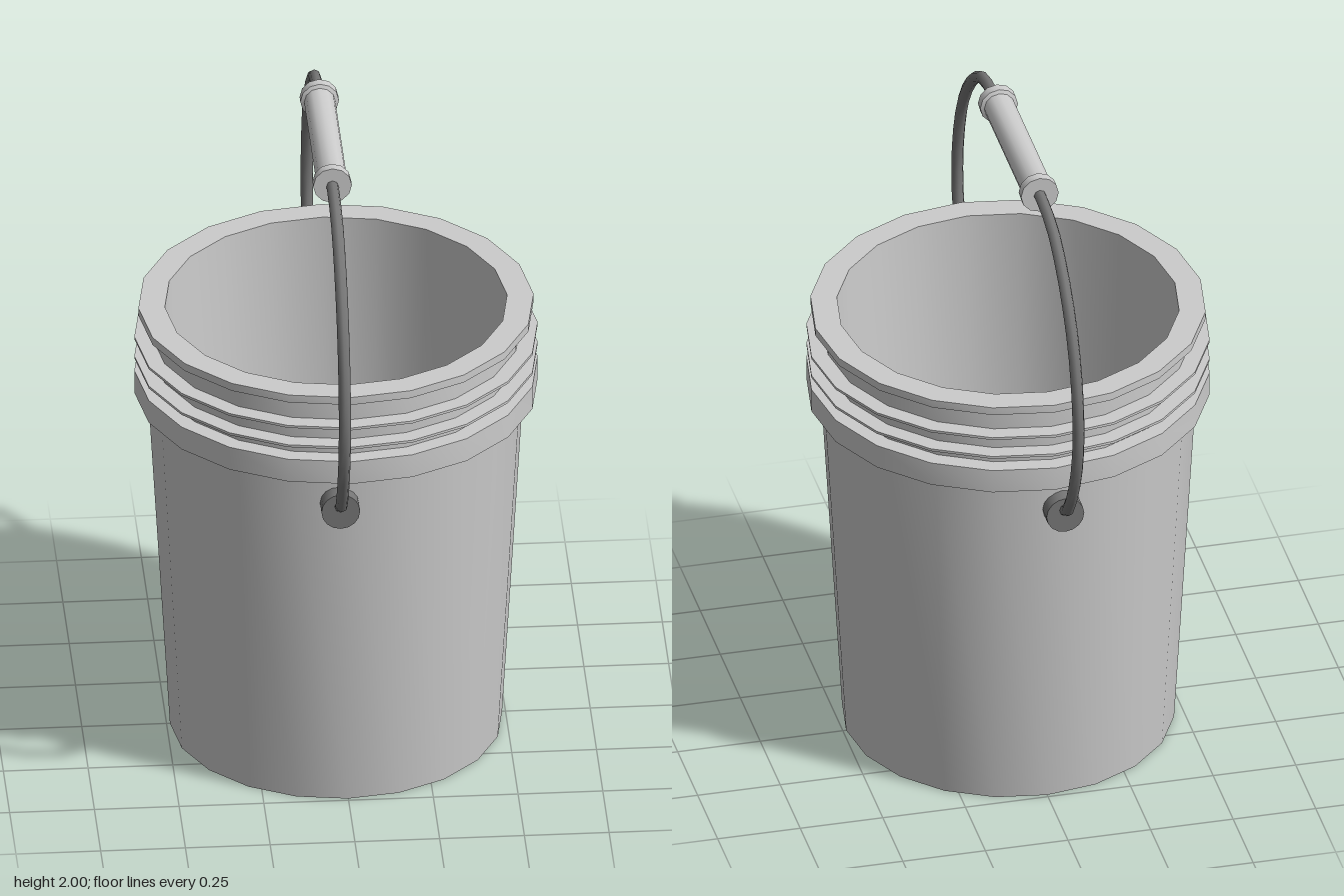
import * as THREE from 'three';
import { toCreasedNormals } from 'three/addons/utils/BufferGeometryUtils.js';

const HANDLE_X = -0.03;

// Lathe from [radius, y] pairs, with smooth sides and sharp rims
function lathe(points, sides) {
  const profile = points.map(([r, y]) => new THREE.Vector2(r, y));
  return toCreasedNormals(new THREE.LatheGeometry(profile, sides), Math.PI / 5);
}

export function createModel() {
  const plastic = new THREE.MeshStandardMaterial({ color: 0xcccccc });
  const metal = new THREE.MeshStandardMaterial({ color: 0x777777 });
  const model = new THREE.Group();
  model.name = 'bucket';

  const add = (name, geometry, material, parent = model) => {
    const mesh = new THREE.Mesh(geometry, material);
    mesh.name = name;
    parent.add(mesh);
    return mesh;
  };

  // Hollow body: tapered wall, thick collar, two thin ridges, flat rim, inner wall and floor
  const ridge = (y) => [[0.545, y - 0.004], [0.595, y - 0.004], [0.595, y + 0.004], [0.545, y + 0.004]];
  add('body', lathe([
    [0, 0], [0.49, 0], [0.555, 1.12],
    [0.595, 1.12], [0.595, 1.195], [0.545, 1.195],
    ...ridge(1.24), ...ridge(1.305),
    [0.545, 1.38], [0.583, 1.38], [0.583, 1.405],
    [0.505, 1.405], [0.45, 0.03], [0, 0.03],
  ], 20), plastic);

  const handle = new THREE.Group();
  handle.name = 'handle';
  handle.position.x = HANDLE_X;
  model.add(handle);

  // Pivot bosses, front and back
  for (const side of [1, -1]) {
    const boss = add(side > 0 ? 'frontPivot' : 'backPivot',
      toCreasedNormals(new THREE.CylinderGeometry(0.057, 0.057, 0.075, 16), Math.PI / 5), metal, handle);
    boss.rotation.x = Math.PI / 2;
    boss.position.set(0, 1.027, side * 0.557);
  }

  // Bent wire, mirrored from one half of its path
  const half = [
    [0.56, 1.025], [0.595, 1.035], [0.66, 1.11], [0.715, 1.21], [0.75, 1.32], [0.758, 1.43],
    [0.737, 1.56], [0.69, 1.68], [0.62, 1.78], [0.53, 1.865], [0.44, 1.918], [0.34, 1.938], [0.2, 1.942],
  ];
  const path = [
    ...half.map(([z, y]) => new THREE.Vector3(0, y, z)),
    ...half.map(([z, y]) => new THREE.Vector3(0, y, -z)).reverse(),
  ];
  add('wire', new THREE.TubeGeometry(new THREE.CatmullRomCurve3(path), 40, 0.018, 8), metal, handle);

  // Grip with a flange at each end
  const grip = add('grip', lathe([
    [0, -0.27], [0.057, -0.27], [0.057, -0.24], [0.046, -0.235],
    [0.046, 0.235], [0.057, 0.24], [0.057, 0.27], [0, 0.27],
  ], 12), plastic, handle);
  grip.rotation.x = Math.PI / 2;
  grip.position.set(0, 1.943, -0.005);

  return model;
}
